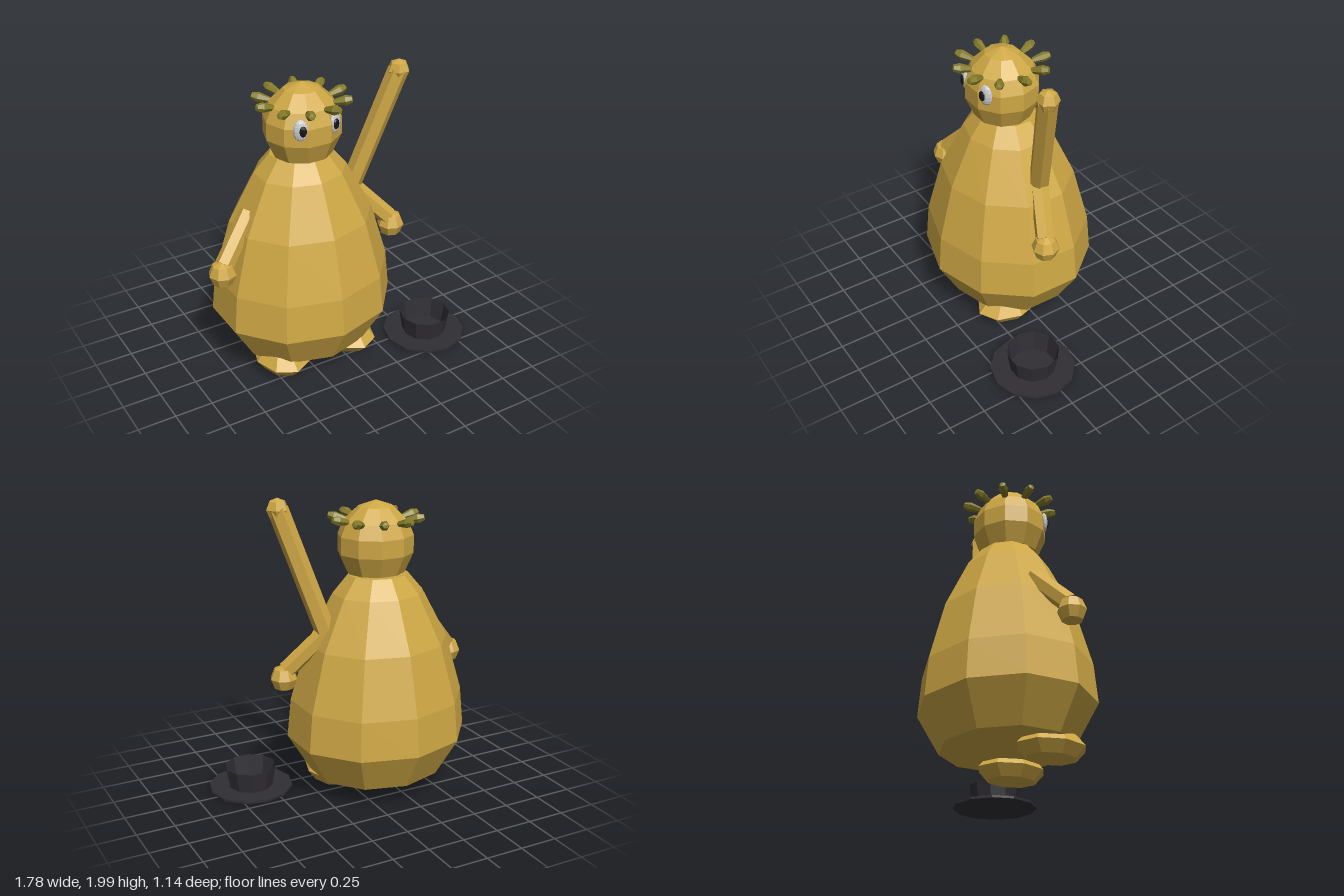
import * as THREE from 'three';

const paint = (color, side = THREE.FrontSide) =>
  new THREE.MeshStandardMaterial({ color, flatShading: true, side });

const CX = -0.18; // centre line of the creature

export function createModel() {
  const root = new THREE.Group();
  const skin = paint(0xcfa845);
  const olive = paint(0x857c28);
  const white = paint(0xeeeeee);
  const black = paint(0x151515);
  const felt = paint(0x302e34, THREE.DoubleSide);

  const add = (name, geo, mat, pos = [0, 0, 0], parent = root) => {
    const m = new THREE.Mesh(geo, mat);
    m.name = name;
    m.position.set(...pos);
    parent.add(m);
    return m;
  };
  const lathe = (pts, sides) =>
    new THREE.LatheGeometry(pts.map(([r, y]) => new THREE.Vector2(r, y)), sides);
  const ball = (rx, ry, rz, w, h) => new THREE.SphereGeometry(1, w, h).scale(rx, ry, rz);
  // six-sided bar between two points
  const bar = (name, a, b, r) => {
    const p = new THREE.Vector3(...a), q = new THREE.Vector3(...b);
    const d = q.clone().sub(p);
    const m = add(name, new THREE.CylinderGeometry(r, r, d.length(), 6), skin);
    m.position.copy(p).add(q).multiplyScalar(0.5);
    m.quaternion.setFromUnitVectors(new THREE.Vector3(0, 1, 0), d.normalize());
  };

  // Pear-shaped body, slightly wider than deep
  const body = lathe([[0, 0.145], [0.455, 0.145], [0.61, 0.4], [0.585, 0.655],
    [0.473, 1.037], [0.302, 1.36], [0.2, 1.48], [0, 1.48]], 10);
  add('body', body.scale(1, 1, 0.893), skin, [CX, 0, -0.027]);

  // Head
  const head = lathe([[0, 1.47], [0.19, 1.485], [0.248, 1.615], [0.248, 1.73],
    [0.21, 1.82], [0.115, 1.91], [0, 1.95]], 10);
  add('head', head.rotateY(Math.PI / 10).scale(1, 1, 0.955), skin, [CX, 0, 0.003]);

  // Crown of ten stubby spikes
  for (let i = 0; i < 10; i++) {
    const holder = new THREE.Group();
    holder.name = 'spikeHolder';
    holder.position.set(CX, 1.84, 0.003);
    holder.rotation.y = (i * Math.PI) / 5;
    root.add(holder);
    const spike = lathe([[0, 0], [0.018, 0], [0.032, 0.075], [0.02, 0.115], [0, 0.118]], 6);
    const m = add('spike', spike, olive, [0.195, -0.02, 0], holder);
    m.rotation.z = -Math.PI / 2 + 0.22;
  }

  for (const s of [-1, 1]) {
    // Eye with pupil, turned outward
    const eye = new THREE.Group();
    eye.name = s > 0 ? 'leftEye' : 'rightEye';
    eye.position.set(CX + s * 0.119, 1.727, 0.197);
    eye.rotation.y = s * 0.42;
    root.add(eye);
    add('eyeWhite', ball(0.047, 0.07, 0.024, 10, 8), white, [0, 0, 0], eye);
    add('pupil', ball(0.024, 0.035, 0.014, 8, 6), black, [-s * 0.013, 0, 0.019], eye);

    // Arm, hand and foot
    const x = (d) => CX + s * d;
    bar('arm', [x(0.37), 1.14, -0.03], [x(0.605), 0.885, 0.08], 0.061);
    add('hand', ball(0.09, 0.092, 0.09, 8, 4), skin, [x(0.622), 0.832, 0.087]);
    add('foot', ball(0.175, 0.1, 0.23, 8, 4), skin, [x(0.256), 0.11, 0.137]);
  }

  // Raised pole with a knob
  bar('raisedPole', [0.2, 1.15, -0.025], [0.455, 1.93, 0.1], 0.067);
  add('poleKnob', ball(0.074, 0.072, 0.072, 6, 4), skin, [0.457, 1.928, 0.1]);

  // Upturned open hat on the ground
  const hat = new THREE.Group();
  hat.name = 'hat';
  hat.position.set(0.612, 0, 0.29);
  root.add(hat);
  add('hatBrim', new THREE.CylinderGeometry(0.28, 0.28, 0.016, 12), felt, [0, 0.027, 0], hat);
  const crown = new THREE.CylinderGeometry(0.172, 0.148, 0.14, 10, 1, true);
  add('hatCrown', crown.rotateY(Math.PI / 10), felt, [0, 0.103, 0], hat);

  return root;
}
